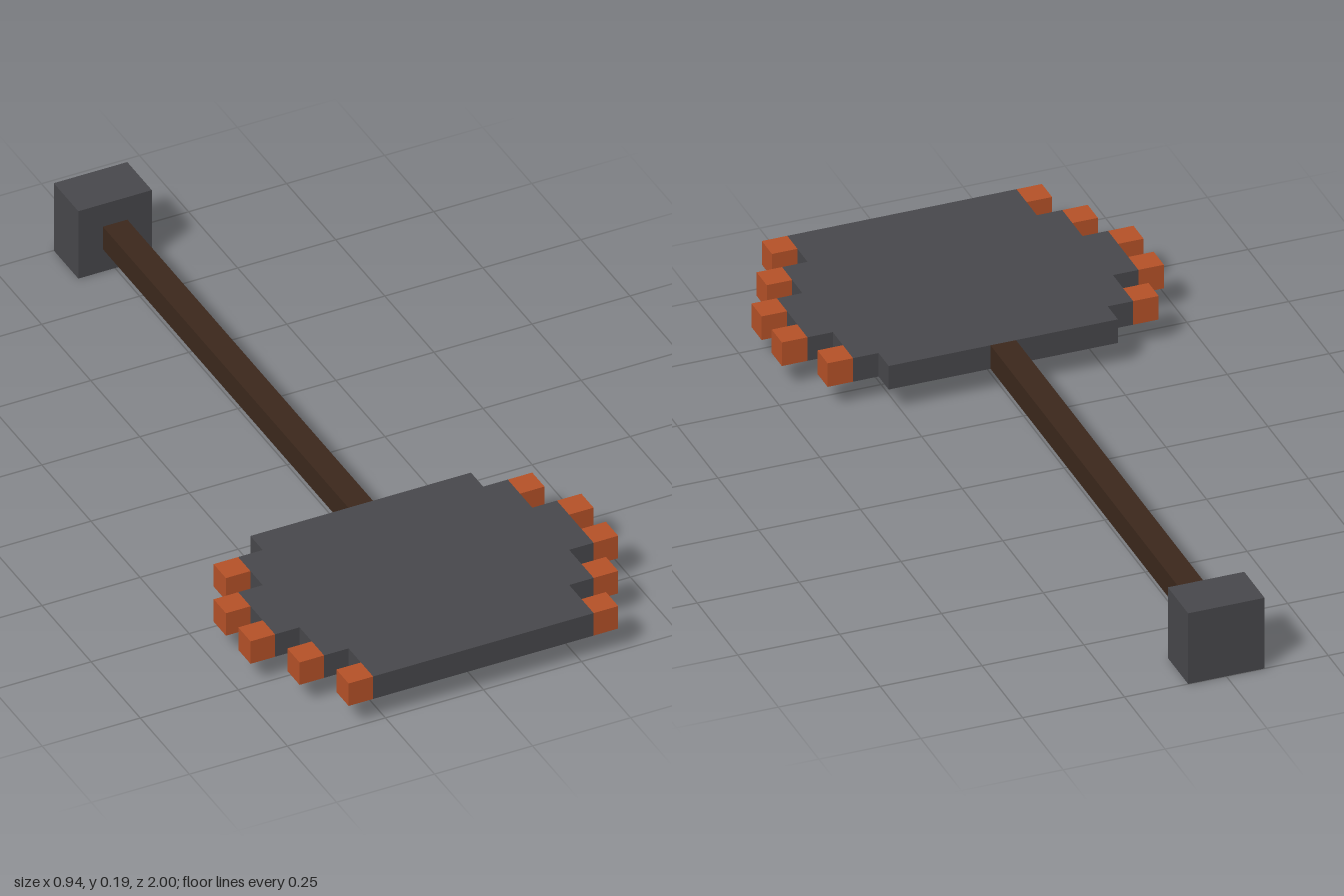
import * as THREE from 'three';

const U = 1 / 16; // one block unit

export function createModel() {
  const group = new THREE.Group();
  const mat = (color) => new THREE.MeshStandardMaterial({ color, flatShading: true });
  const iron = mat(0x48484c), wood = mat(0x3c281c), copper = mat(0xb65228);

  // Box given by its centre and size in block units
  const box = (name, material, [w, h, d], [x, y, z]) => {
    const mesh = new THREE.Mesh(new THREE.BoxGeometry(w * U, h * U, d * U), material);
    mesh.position.set(x * U, y * U, z * U);
    mesh.name = name;
    group.add(mesh);
  };

  box('pommel', iron, [3, 3, 2], [0, 1.5, -15]);
  box('handle', wood, [1, 1, 20], [0, 1.5, -4]);

  // Stepped blade: half width and z at each corner, mirrored across x
  const side = [
    [4.5, 6], [4.5, 7], [5.5, 7], [5.5, 9], [6.5, 9], [6.5, 12],
    [5.5, 12], [5.5, 14], [4.5, 14], [4.5, 16],
  ];
  const outline = [...side, ...side.map(([x, z]) => [-x, z]).reverse()];
  const shape = new THREE.Shape(outline.map(([x, z]) => new THREE.Vector2(x * U, z * U)));
  const bladeGeo = new THREE.ExtrudeGeometry(shape, { depth: U, bevelEnabled: false });
  bladeGeo.rotateX(Math.PI / 2).translate(0, 2 * U, 0);
  const blade = new THREE.Mesh(bladeGeo, iron);
  blade.name = 'blade';
  group.add(blade);

  // Teeth along both edges of the blade
  const teeth = [[6, 7.5], [7, 9.5], [7, 11.5], [6, 13.5], [5, 15.5]];
  for (const s of [1, -1]) {
    teeth.forEach(([x, z], i) =>
      box(`${s > 0 ? 'left' : 'right'}Tooth${i + 1}`, copper, [1, 1, 1], [s * x, 1.5, z]));
  }
  return group;
}
